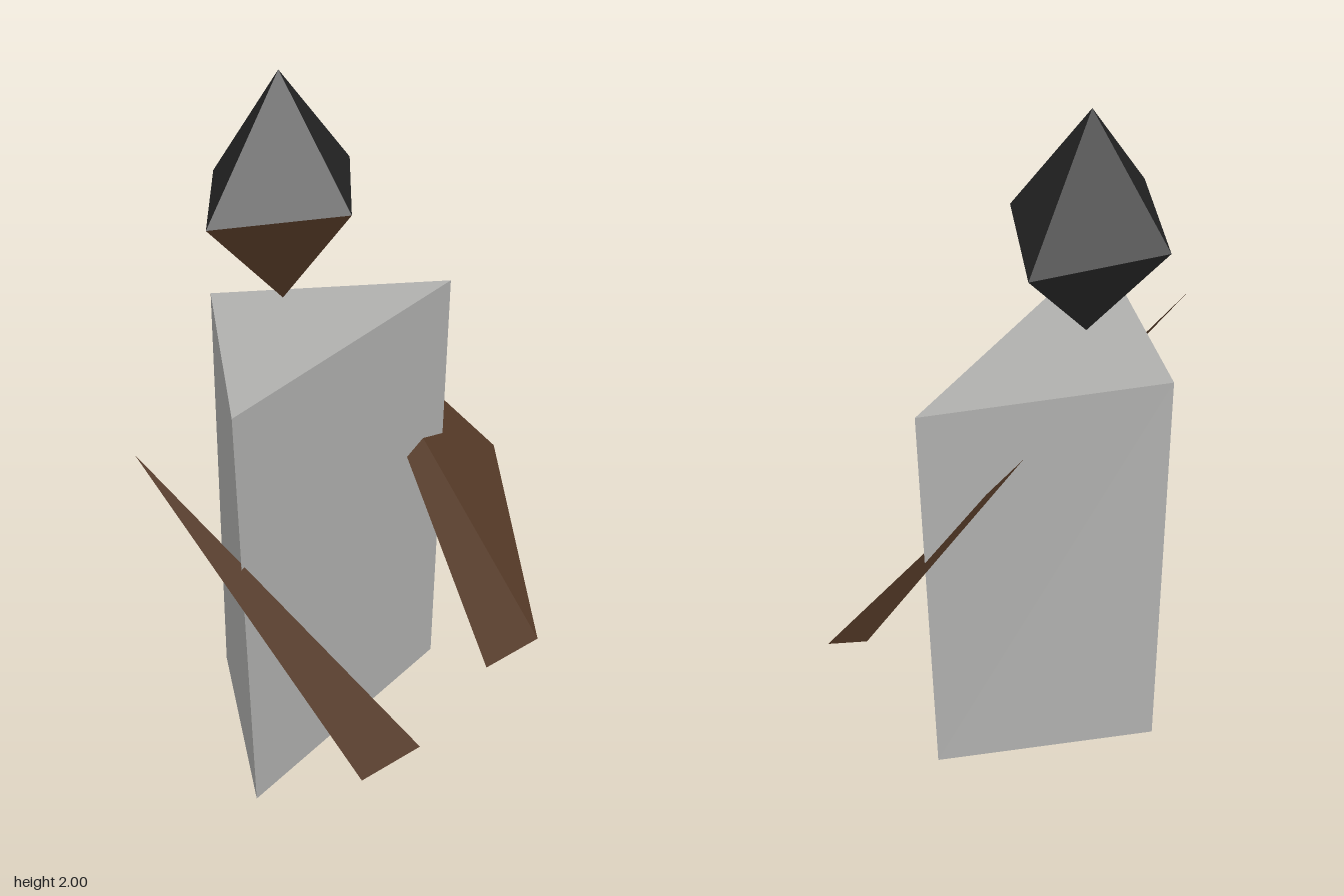
import * as THREE from 'three';

const CX = -0.043; // centre line of torso and head

const grey = new THREE.MeshStandardMaterial({ color: 0xb0b0ae });
grey.name = 'robeGrey';
const brown = new THREE.MeshStandardMaterial({ color: 0x553a27, side: THREE.DoubleSide });
brown.name = 'skinBrown';
const black = new THREE.MeshStandardMaterial({ color: 0x252525 });
black.name = 'hairBlack';

// Flat-shaded mesh from corner points and triangles
function facetMesh(name, points, faces, material) {
  const geometry = new THREE.BufferGeometry();
  const positions = faces.flatMap((face) => face.flatMap((i) => points[i]));
  geometry.setAttribute('position', new THREE.Float32BufferAttribute(positions, 3));
  geometry.computeVertexNormals();
  const mesh = new THREE.Mesh(geometry, material);
  mesh.name = name;
  return mesh;
}

// Torso: three-sided prism, a little wider at the top
function createTorso() {
  const ring = (y, halfWidth) => [
    [CX - halfWidth, y, 0.04],
    [CX + halfWidth, y, 0.04],
    [CX, y, -0.443],
  ];
  const points = [...ring(0, 0.428), ...ring(1.29, 0.472)];
  const faces = [[0, 2, 1], [3, 4, 5]];
  for (let i = 0; i < 3; i++) {
    const j = (i + 1) % 3;
    faces.push([i, j, j + 3], [i, j + 3, i + 3]);
  }
  return facetMesh('torso', points, faces, grey);
}

// Head: stretched octahedron, lower front facets are the face
function createHead() {
  const cy = 1.667, cz = -0.182, rx = 0.293, rz = 0.232;
  const points = [
    [CX, cy, cz + rz], [CX + rx, cy, cz], [CX, cy, cz - rz], [CX - rx, cy, cz],
    [CX, 2, cz], [CX, 1.36, cz],
  ];
  const hair = [], face = [];
  for (let i = 0; i < 4; i++) {
    const j = (i + 1) % 4;
    hair.push([i, j, 4]);
    (i === 0 || i === 3 ? face : hair).push([j, i, 5]);
  }
  const head = new THREE.Group();
  head.name = 'head';
  head.add(facetMesh('hair', points, hair, black), facetMesh('face', points, face, brown));
  return head;
}

export function createModel() {
  const model = new THREE.Group();
  model.name = 'figure';
  model.add(createTorso(), createHead());

  // Right arm: a single thin blade from shoulder to hand
  model.add(facetMesh('rightArm',
    [[-0.63, 1.155, -0.19], [-0.445, 0.25, 0.395], [-0.24, 0.25, 0.44]],
    [[0, 1, 2]], brown));

  // Left arm: the same blade with an outer elbow facet
  model.add(facetMesh('leftArm',
    [[0.285, 1.155, -0.19], [0.155, 0.25, 0.395], [0.36, 0.25, 0.44], [0.627, 0.66, 0.085]],
    [[0, 1, 2], [0, 2, 3]], brown));

  return model;
}
